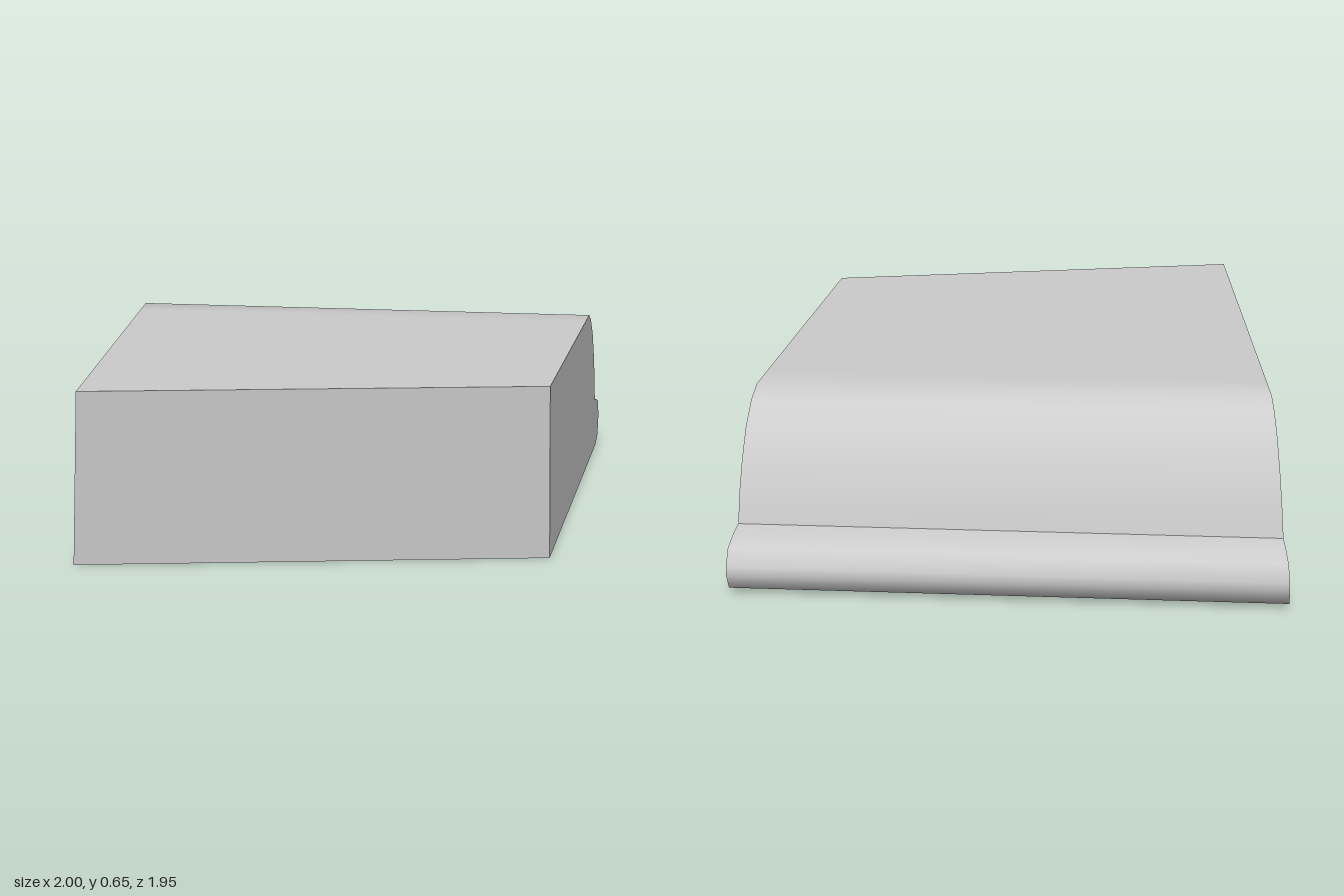
import * as THREE from 'three';
import { toCreasedNormals } from 'three/addons/utils/BufferGeometryUtils.js';

// Back moulding profile as [z, y], from the top face down to the underside
const PROFILE = [
  [-0.4, 0.65], [-0.54, 0.65], [-0.61, 0.615], [-0.685, 0.54], [-0.745, 0.435], [-0.79, 0.325], [-0.818, 0.215],
  [-0.88, 0.205], [-0.945, 0.18], [-0.977, 0.12], [-0.977, 0.085], [-0.953, 0.025], [-0.875, 0],
];

// Sloping side planes: x = a + b * z + c * y
const RIGHT_SIDE = { a: -0.932, b: 0.0755, c: 0.059 };
const LEFT_SIDE = { a: 0.898, b: -0.105, c: -0.018 };

// Skewed front plane: z = 0.797 - 0.1775 * x + 0.05 * y, met with a side plane
const frontZ = ({ a, b, c }, y) =>
  (0.797 + 0.05 * y - 0.1775 * (a + c * y)) / (1 + 0.1775 * b);

export function createModel() {
  const group = new THREE.Group();
  group.name = 'mouldedBlock';
  const grey = new THREE.MeshStandardMaterial({ color: 0xcccccc });
  grey.name = 'light grey';

  // Closed outline, with the front edge at a provisional z = 1
  const outline = [[1, 0], [1, 0.65], ...PROFILE].map(([z, y]) => new THREE.Vector2(-z, y));
  const geometry = new THREE.ExtrudeGeometry(new THREE.Shape(outline), { depth: 2, bevelEnabled: false });
  geometry.translate(0, 0, -1).rotateY(Math.PI / 2);

  // Taper the ends and skew the front
  const pos = geometry.attributes.position;
  for (let i = 0; i < pos.count; i++) {
    const y = pos.getY(i);
    const side = pos.getX(i) > 0 ? LEFT_SIDE : RIGHT_SIDE;
    const z = pos.getZ(i) > 0 ? frontZ(side, y) : pos.getZ(i);
    pos.setXYZ(i, side.a + side.b * z + side.c * y, y, z);
  }

  // Smooth moulding with sharp outer edges and step
  const block = new THREE.Mesh(toCreasedNormals(geometry, THREE.MathUtils.degToRad(55)), grey);
  block.name = 'block';
  group.add(block);
  return group;
}
